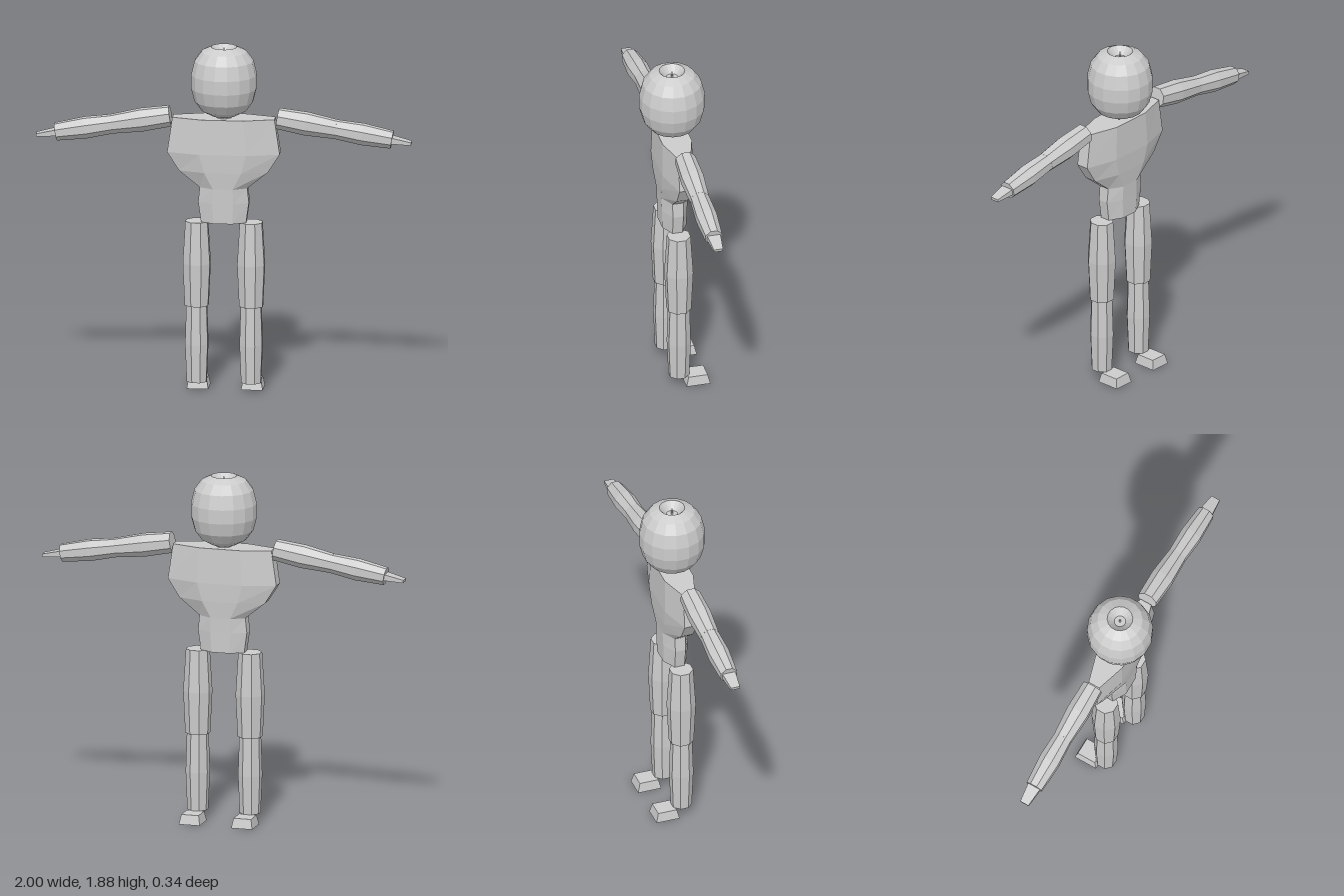
import * as THREE from 'three';

const material = new THREE.MeshStandardMaterial({ color: 0xcccccc, flatShading: true });

// Closed loft along y. Each row is [y, half width in x, half depth in z].
function loft(name, rows, sides = 8) {
  const first = rows[0], last = rows[rows.length - 1];
  const rings = [[first[0], 0, 0], ...rows, [last[0], 0, 0]];
  const k = 1 / Math.cos(Math.PI / sides);
  const pos = [], index = [];
  for (const [y, hx, hz] of rings) {
    for (let i = 0; i < sides; i++) {
      const a = ((i + 0.5) / sides) * Math.PI * 2;
      pos.push(hx * k * Math.cos(a), y, hz * k * Math.sin(a));
    }
  }
  for (let r = 0; r < rings.length - 1; r++) {
    for (let i = 0; i < sides; i++) {
      const a = r * sides + i, b = r * sides + ((i + 1) % sides);
      const c = a + sides, d = b + sides;
      if (r > 0) index.push(a, c, b);
      if (r < rings.length - 2) index.push(b, c, d);
      else if (r === 0) index.push(b, c, d);
    }
  }
  const geo = new THREE.BufferGeometry();
  geo.setAttribute('position', new THREE.Float32BufferAttribute(pos, 3));
  geo.setIndex(index);
  geo.computeVertexNormals();
  const mesh = new THREE.Mesh(geo, material);
  mesh.name = name;
  return mesh;
}

// Rows with the same radius in both directions.
const round = (rows) => rows.map(([y, r]) => [y, r, r]);

function makeArm(side) {
  const arm = new THREE.Group();
  arm.name = side > 0 ? 'leftArm' : 'rightArm';
  arm.add(
    loft('upperArm', round([[0, 0.053], [0.155, 0.059], [0.315, 0.049]])),
    loft('forearm', round([[0.305, 0.048], [0.46, 0.055], [0.62, 0.045]])),
    loft('hand', [[0.61, 0.017, 0.037], [0.724, 0.008, 0.025]], 4),
  );
  arm.position.set(side * 0.285, 1.5, 0);
  arm.rotation.z = -side * (Math.PI / 2 + 0.165);
  return arm;
}

function makeLeg(side) {
  const leg = new THREE.Group();
  leg.name = side > 0 ? 'leftLeg' : 'rightLeg';
  const foot = loft('foot', [[0, 0.058, 0.065], [0.052, 0.048, 0.052]], 4);
  foot.position.z = -0.094;
  leg.add(
    loft('thigh', round([[0.47, 0.062], [0.7, 0.072], [0.93, 0.059]])),
    loft('shin', round([[0.052, 0.052], [0.26, 0.06], [0.47, 0.054]])),
    foot,
  );
  leg.position.x = side * 0.145;
  return leg;
}

export function createModel() {
  const model = new THREE.Group();
  model.name = 'figure';

  // Torso: narrow waist, broad flat chest
  model.add(loft('torso', [
    [0.93, 0.12, 0.066], [1.04, 0.135, 0.069], [1.12, 0.127, 0.072],
    [1.21, 0.237, 0.08], [1.31, 0.3, 0.085], [1.5, 0.272, 0.08],
  ]));

  model.add(loft('neck', round([[1.49, 0.04], [1.53, 0.04]])));

  // Head: faceted ball with a pit and small spike in the crown
  model.add(loft('head', round([
    [1.512, 0.067], [1.54, 0.118], [1.59, 0.154], [1.66, 0.172], [1.735, 0.172],
    [1.81, 0.154], [1.86, 0.118], [1.885, 0.067],
    [1.845, 0.03], [1.845, 0.006], [1.88, 0.002],
  ]), 16));

  for (const side of [1, -1]) model.add(makeArm(side), makeLeg(side));
  return model;
}
